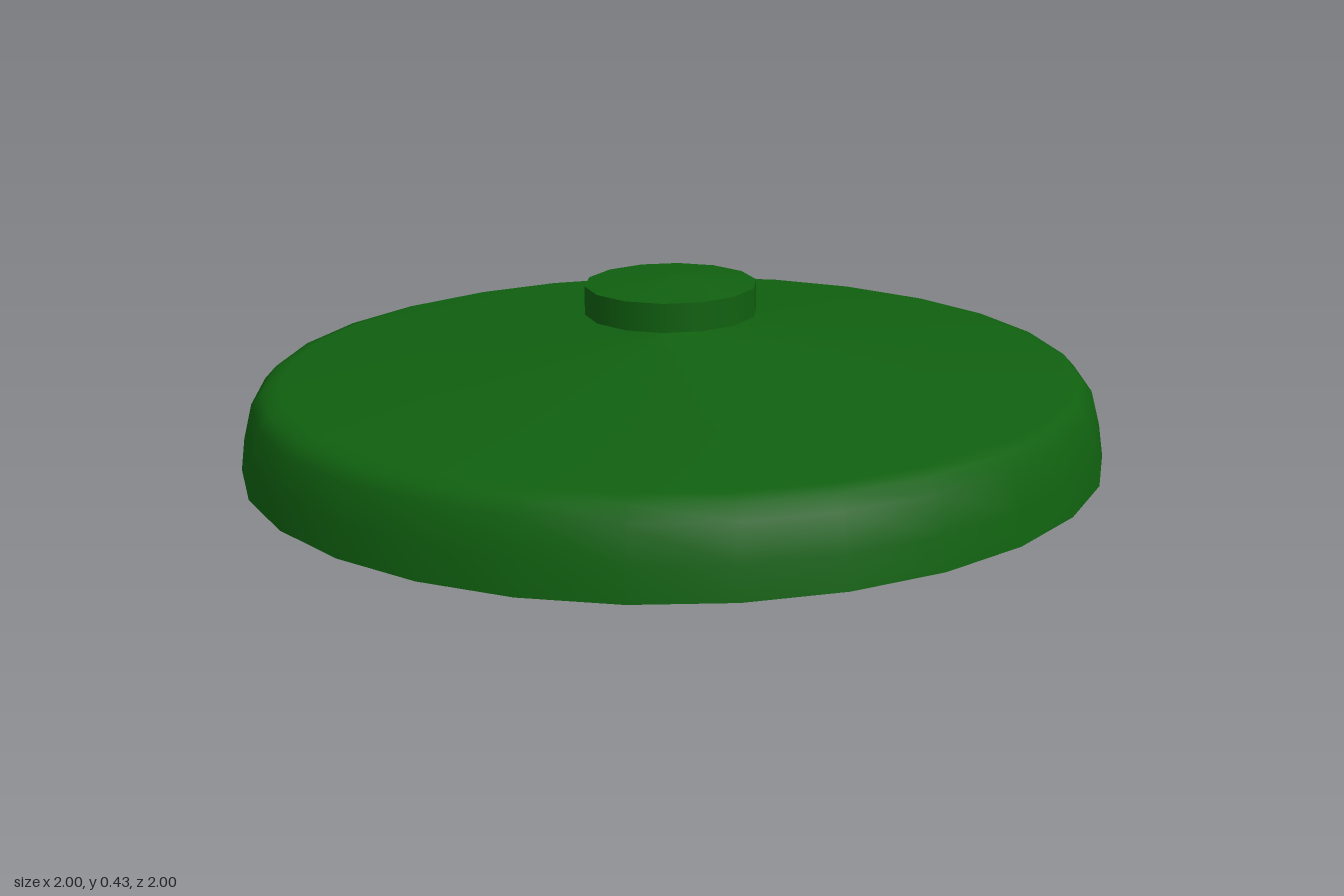
import * as THREE from 'three';

const material = new THREE.MeshStandardMaterial({ color: 0x106010 });

// Smooth surface of revolution; each one ends at a sharp edge
function turned(name, sides, profile) {
  const points = profile.map(([r, y]) => new THREE.Vector2(r, y));
  const mesh = new THREE.Mesh(new THREE.LatheGeometry(points, sides, Math.PI / 2), material);
  mesh.name = name;
  return mesh;
}

export function createModel() {
  const model = new THREE.Group();
  model.name = 'lid';

  // Lid shell: hollow inside, flat rim, rounded skirt and shallow conical top
  const shell = new THREE.Group();
  shell.name = 'shell';
  shell.add(
    turned('innerSurface', 28, [[0, 0.25], [0.5, 0.21], [0.87, 0.175], [0.92, 0.155], [0.945, 0.1], [0.96, 0]]),
    turned('rim', 28, [[0.96, 0], [1, 0]]),
    turned('outerSurface', 28, [
      [1, 0], [0.99, 0.075], [0.97, 0.155], [0.943, 0.185], [0.905, 0.196],
      [0.6, 0.228], [0.12, 0.276], [0.05, 0.295],
    ]),
  );

  // Knob: thin neck and a disc with a slightly domed top
  const knob = new THREE.Group();
  knob.name = 'knob';
  knob.add(
    turned('neck', 14, [[0.05, 0.293], [0.05, 0.328]]),
    turned('knobUnderside', 14, [[0.05, 0.325], [0.2, 0.333]]),
    turned('knobSide', 14, [[0.2, 0.333], [0.2, 0.4]]),
    turned('knobTop', 14, [[0.2, 0.4], [0.1, 0.409], [0, 0.417]]),
  );

  // The whole lid rests with a slight sideways tilt
  const lid = new THREE.Group();
  lid.name = 'tiltedLid';
  lid.add(shell, knob);
  lid.rotation.z = 0.0105;
  lid.position.y = 0.0105;
  model.add(lid);
  return model;
}
